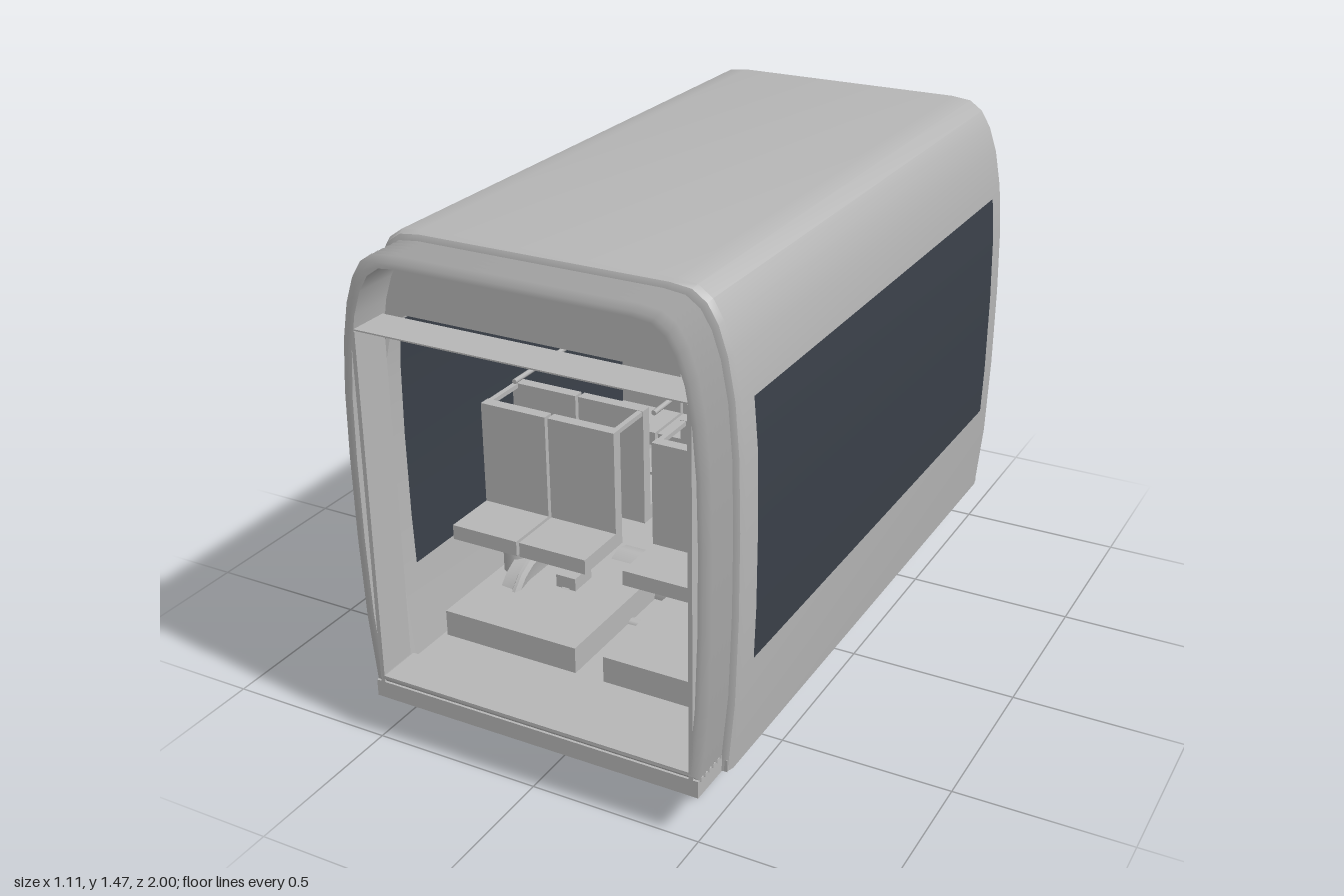
import * as THREE from 'three';
import { toCreasedNormals } from 'three/addons/utils/BufferGeometryUtils.js';

// Half cross-section of the carriage, from the sill to the roof centre
const HALF = [[0.52, 0.14], [0.54, 0.35], [0.549, 0.6], [0.551, 0.85], [0.547, 1.05], [0.535, 1.2],
  [0.515, 1.31], [0.49, 1.385], [0.46, 1.435], [0.42, 1.463], [0.36, 1.47]];

// Whole cross-section, shrunk by d on each side
function section(d, bottom = 0.14) {
  const right = HALF.map(([x, y]) => [x * (1 - d / 0.55),
    bottom + (y - 0.14) * (1.47 - d - bottom) / 1.33]);
  return [...right, ...right.slice().reverse().map(([x, y]) => [-x, y])];
}

// Skin over a list of { z, pts } cross-sections
function loft(rings, closed = false) {
  const pos = [], idx = [], n = rings[0].pts.length;
  for (const { z, pts } of rings) for (const [x, y] of pts) pos.push(x, y, z);
  for (let r = 0; r < rings.length - 1; r++) {
    for (let i = 0; i < (closed ? n : n - 1); i++) {
      const a = r * n + i, b = r * n + (i + 1) % n;
      idx.push(a, a + n, b, b, a + n, b + n);
    }
  }
  const g = new THREE.BufferGeometry();
  g.setAttribute('position', new THREE.Float32BufferAttribute(pos, 3));
  g.setIndex(idx);
  return toCreasedNormals(g, 0.6);
}

// Half-section x at height y
function sideX(y) {
  const i = HALF.findIndex((p) => p[1] >= y);
  const [a, b] = [HALF[i - 1], HALF[i]];
  return a[0] + (b[0] - a[0]) * (y - a[1]) / (b[1] - a[1]);
}

export function createModel() {
  const model = new THREE.Group();
  model.name = 'tramCarriage';
  const grey = new THREE.MeshStandardMaterial({ color: 0xb6b6b6, side: THREE.DoubleSide });
  grey.name = 'grey';
  const glass = new THREE.MeshStandardMaterial({ color: 0x3a4049, side: THREE.DoubleSide });
  glass.name = 'darkGlass';

  function add(name, geo, x = 0, y = 0, z = 0, mat = grey, parent = model) {
    const m = new THREE.Mesh(geo, mat);
    m.name = name;
    m.position.set(x, y, z);
    parent.add(m);
    return m;
  }
  // Box from its limits
  const box = (name, x0, x1, y0, y1, z0, z1, mat = grey, parent = model) =>
    add(name, new THREE.BoxGeometry(x1 - x0, y1 - y0, z1 - z0),
      (x0 + x1) / 2, (y0 + y1) / 2, (z0 + z1) / 2, mat, parent);
  // Cylinder lying along x
  const rod = (name, r, length, x, y, z, sides = 16, parent = model) =>
    add(name, toCreasedNormals(new THREE.CylinderGeometry(r, r, length, sides).rotateZ(Math.PI / 2), 0.7),
      x, y, z, grey, parent);

  // Body shell with softened ends and an inner lining
  const shell = [[0.87, 0.035], [0.87, 0.02], [0.863, 0.007], [0.845, 0], [-0.975, 0],
    [-0.993, 0.007], [-1, 0.02], [-1, 0.035], [0.87, 0.035]];
  add('bodyShell', loft(shell.map(([z, d]) => ({ z, pts: section(d) }))));

  // End walls with the gangway opening
  const wall = new THREE.Shape(section(0.02).map(([x, y]) => new THREE.Vector2(x, y)));
  const open = [[0.475, 0.175], [0.495, 0.4], [0.505, 0.8], [0.5, 1.08], [0.475, 1.18], [0.45, 1.215], [0.41, 1.238]];
  wall.holes.push(new THREE.Path([...open, ...open.slice().reverse().map(([x, y]) => [-x, y])]
    .map(([x, y]) => new THREE.Vector2(x, y))));
  const wallGeo = new THREE.ExtrudeGeometry(wall, { depth: 0.018, bevelEnabled: false });
  add('rearEndWall', wallGeo, 0, 0, -0.9995);
  add('frontEndWall', wallGeo, 0, 0, 0.851);

  // Corrugated gangway bellows
  const folds = [];
  for (let i = 0; i <= 12; i++) folds.push({ z: 0.868 + i * 0.011, pts: section(i % 2 ? 0.018 : 0.036, i % 2 ? 0.185 : 0.2) });
  folds.push({ z: 1, pts: section(0.05, 0.21) }, { z: 0.868, pts: section(0.05, 0.21) });
  add('bellows', loft(folds, true));

  // Gangway lining plates
  for (const s of [-1, 1]) box('gangwaySidePlate', s * 0.479 - 0.006, s * 0.479 + 0.006, 0.15, 1.23, 0.88, 1);
  box('gangwayTopPlate', -0.479, 0.479, 1.232, 1.236, 0.88, 1);

  // Floor
  box('floor', -0.515, 0.515, 0.14, 0.175, -0.998, 0.868);
  box('gangwayFloor', -0.5, 0.5, 0.14, 0.19, 0.868, 1);

  // Side windows, seen from outside and inside
  const ys = [0.45, 0.6, 0.72, 0.85, 0.95, 1.05, 1.18];
  for (const s of [-1, 1]) {
    for (const off of [0.003, -0.042]) {
      const pts = ys.map((y) => [s * (sideX(y) + off), y]);
      add('sideWindow', loft([{ z: 0.785, pts }, { z: -0.9, pts }]), 0, 0, 0, glass);
    }
  }

  // Ceiling lights and grab rails
  for (const s of [-1, 1]) {
    box('ceilingLight', s * 0.25 - 0.02, s * 0.25 + 0.02, 1.422, 1.436, -0.8, 0.7);
    add('grabRail', new THREE.CylinderGeometry(0.007, 0.007, 1.5, 8).rotateX(Math.PI / 2), s * 0.21, 1.025, -0.06);
  }

  // Hanging information display
  box('displayCase', -0.155, 0.155, 1.09, 1.2, -0.085, -0.035);
  box('displayPost', -0.006, 0.006, 1.2, 1.435, -0.066, -0.054);
  for (const z of [-0.087, -0.035]) box('displayScreen', -0.14, 0.14, 1.1, 1.19, z, z + 0.002, glass);

  // Wheel profile with flange, turned about the axle
  const wheelGeo = toCreasedNormals(new THREE.LatheGeometry(
    [[0, -0.03], [0.1, -0.025], [0.135, -0.04], [0.148, -0.035], [0.15, 0.005], [0.161, 0.012],
      [0.161, 0.022], [0.145, 0.03], [0.1, 0.02], [0, 0.025]].map(([r, y]) => new THREE.Vector2(r, y)), 20)
    .rotateZ(Math.PI / 2), 0.6);

  // One running unit with its seats, built around the axle; the rear one is turned about
  function unit(name, z, dir) {
    const g = new THREE.Group();
    g.name = name;
    g.position.z = z;
    rod('axle', 0.02, 0.74, 0, 0.165, 0, 12, g);
    rod('motor', 0.085, 0.365, -0.032, 0.18, -0.225 * dir, 12, g);
    const plinth = [-0.17 * dir, 0.31 * dir].sort((a, b) => a - b);
    for (const s of [-1, 1]) {
      const span = (a, b) => [s * a, s * b].sort((p, q) => p - q);
      box('seatPlinth', ...span(0.045, 0.477), 0.17, 0.255, ...plinth, grey, g);
      const wheel = add('wheel', wheelGeo, s * 0.38, 0.165, 0, grey, g);
      wheel.rotation.y = s > 0 ? 0 : Math.PI;
      rod('brakeDisc', 0.105, 0.024, s * 0.238, 0.165, 0, 16, g);
      box('brakeCaliper', ...span(0.205, 0.27), 0.25, 0.295, -0.045, 0.045, grey, g);
      box('axleBox', ...span(0.41, 0.462), 0.12, 0.2, -0.065, 0.065, grey, g);
      add('suspensionSpring', new THREE.CylinderGeometry(0.047, 0.047, 0.115, 16), s * 0.427, 0.308, 0, grey, g);

      // Back-to-back pairs of seats
      for (const [x0, x1] of [[0.06, 0.275], [0.285, 0.5]]) {
        for (const f of [-1, 1]) {
          const zc = -0.05 * dir;
          const range = (a, b) => [zc + f * a, zc + f * b].sort((p, q) => p - q);
          box('seatCushion', ...span(x0, x1), 0.44, 0.485, ...range(0.07, 0.27), grey, g);
          box('seatBack', ...span(x0, x1), 0.44, 0.8, ...range(0.065, 0.1), grey, g);
        }
      }
      for (const x of [0.07, 0.49]) box('seatTopRail', ...span(x - 0.008, x + 0.008), 0.785, 0.799,
        -0.05 * dir - 0.07, -0.05 * dir + 0.07, grey, g);
    }
    model.add(g);
  }
  unit('frontBogie', 0.39, 1);
  unit('rearBogie', -0.51, -1);

  return model;
}
